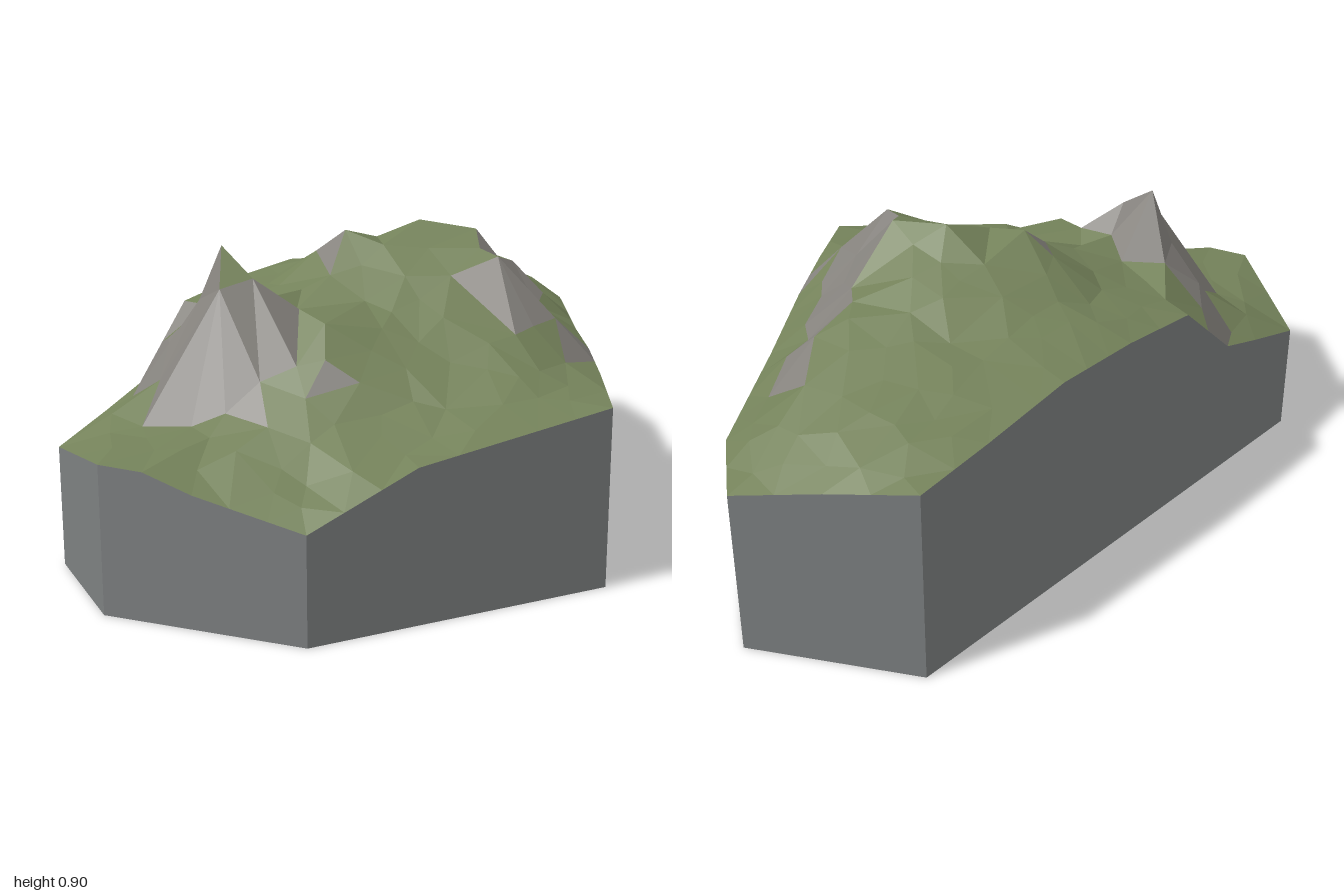
import * as THREE from 'three';

// Outline corners: x, z, height, then [fraction, height] stops along the edge to the next corner
const OUTLINE = [
  [-0.76, 0.57, 0.35, [0.12, 0.405], [0.21, 0.45], [0.34, 0.655], [0.5, 0.68], [0.67, 0.685], [0.85, 0.64]],
  [-0.09, -0.95, 0.61, [0.5, 0.57]],
  [0.43, -1.0, 0.52],
  [0.55, -0.77, 0.515, [0.35, 0.52], [0.6, 0.54], [0.8, 0.535]],
  [0.76, 0.48, 0.515, [0.65, 0.435]],
  [0.03, 1.0, 0.305, [0.54, 0.37], [0.78, 0.415]],
  [-0.54, 0.89, 0.42],
];

// Peaks, ridges and crags: x, z, height
const CRAGS = [
  [-0.34, 0.34, 0.89], [-0.24, 0.39, 0.81], [-0.32, 0.45, 0.79], [-0.41, 0.33, 0.73], [-0.5, 0.34, 0.6],
  [-0.5, 0.44, 0.52], [-0.51, 0.59, 0.43], [-0.36, 0.63, 0.45], [-0.18, 0.58, 0.57], [-0.03, 0.43, 0.7],
  [-0.14, 0.28, 0.7], [-0.28, 0.24, 0.69], [-0.45, 0.11, 0.66], [-0.61, 0.35, 0.44], [-0.07, 0.14, 0.77],
  [-0.05, 0.0, 0.877], [0.07, 0.04, 0.845], [0.02, -0.15, 0.83], [0.16, -0.08, 0.9], [0.33, -0.07, 0.88],
  [0.41, 0.08, 0.83], [0.46, -0.15, 0.69], [0.47, -0.03, 0.72], [0.28, 0.13, 0.78], [0.58, 0.1, 0.66],
  [0.56, -0.1, 0.6], [0.39, -0.25, 0.74], [0.33, -0.41, 0.74], [0.41, -0.47, 0.7], [0.5, -0.33, 0.59],
];

// Gentler ground: x, z, height
const MEADOW = [
  [0.09, -0.3, 0.79], [0.2, -0.25, 0.81], [0.12, -0.45, 0.73], [0.15, -0.6, 0.69], [0.2, -0.8, 0.64],
  [0.36, -0.65, 0.66], [-0.05, -0.6, 0.685], [-0.12, -0.35, 0.73], [-0.2, -0.15, 0.75], [-0.28, 0.02, 0.71],
  [0.45, -0.82, 0.57], [0.0, -0.8, 0.65], [0.13, 0.27, 0.7], [0.22, 0.36, 0.64], [0.48, 0.27, 0.65],
  [0.62, 0.25, 0.57], [0.32, 0.55, 0.51], [0.04, 0.67, 0.49], [0.0, 0.85, 0.38], [-0.2, 0.78, 0.44],
  [-0.42, 0.78, 0.43], [0.24, 0.74, 0.44], [0.56, 0.47, 0.53], [-0.6, 0.6, 0.41], [0.5, -0.6, 0.56],
];

let seed = 7;
const random = () => (seed = (seed * 16807) % 2147483647) / 2147483647;

// Rim points, each edge split into short steps
function makeRim() {
  const rim = [];
  OUTLINE.forEach(([x, z, y, ...stops], i) => {
    const [nx, nz, ny] = OUTLINE[(i + 1) % OUTLINE.length];
    const keys = [[0, y], ...stops, [1, ny]];
    const length = Math.hypot(nx - x, nz - z);
    for (let k = 0; k + 1 < keys.length; k++) {
      const [t0, y0] = keys[k], [t1, y1] = keys[k + 1];
      const n = Math.max(1, Math.round((t1 - t0) * length / 0.11));
      for (let j = 0; j < n; j++) {
        const f = j / n, t = t0 + (t1 - t0) * f;
        rim.push([x + (nx - x) * t, z + (nz - z) * t, y0 + (y1 - y0) * f]);
      }
    }
  });
  return rim;
}

const cross = (a, b, c) => (b[0] - a[0]) * (c[1] - a[1]) - (b[1] - a[1]) * (c[0] - a[0]);

// Delaunay triangulation in plan, by inserting one point at a time
function triangulate(points) {
  const outer = [[-300, -300, 0], [300, -300, 0], [0, 400, 0]];
  let tris = [outer];
  for (const p of points) {
    const edges = [], keep = [];
    for (const t of tris) {
      const [a, b, c] = t.map(q => [q[0] - p[0], q[1] - p[1]]);
      const sq = v => v[0] * v[0] + v[1] * v[1];
      const det = sq(a) * (b[0] * c[1] - c[0] * b[1]) - sq(b) * (a[0] * c[1] - c[0] * a[1])
        + sq(c) * (a[0] * b[1] - b[0] * a[1]);
      if (det > 1e-12) edges.push([t[0], t[1]], [t[1], t[2]], [t[2], t[0]]);
      else keep.push(t);
    }
    for (const [a, b] of edges) {
      if (edges.some(e => e[0] === b && e[1] === a)) continue;
      if (cross(a, b, p) > 0) keep.push([a, b, p]);
    }
    tris = keep;
  }
  return tris.filter(t => !t.some(q => outer.includes(q)) && cross(...t) > 1e-5);
}

// Steepness test: bare rock where the slope is high
function isRock([a, b, c]) {
  const v = q => new THREE.Vector3(q[0], q[2], q[1]);
  const n = v(c).sub(v(a)).cross(v(b).sub(v(a))).normalize();
  return n.y < 0.73;
}

// Extra facets scattered over the grass, following the ground height
function scatter(points, tris) {
  const result = [...points];
  for (let i = 0; i < 1500; i++) {
    const p = [random() * 1.5 - 0.75, random() * 2 - 1, 0];
    const t = tris.find(([a, b, c]) => cross(a, b, p) > 0 && cross(b, c, p) > 0 && cross(c, a, p) > 0);
    if (!t || isRock(t) || result.some(q => Math.hypot(q[0] - p[0], q[1] - p[1]) < 0.075)) continue;
    const [a, b, c] = t, area = cross(a, b, c);
    p[2] = (cross(b, c, p) * a[2] + cross(c, a, p) * b[2] + cross(a, b, p) * c[2]) / area;
    p[2] += (random() - 0.5) * 0.014;
    result.push(p);
  }
  return result;
}

function facetMesh(name, tris, color) {
  const geometry = new THREE.BufferGeometry();
  const positions = tris.flatMap(t => t.flatMap(([x, z, y]) => [x, y, z]));
  geometry.setAttribute('position', new THREE.Float32BufferAttribute(positions, 3));
  geometry.computeVertexNormals();
  const mesh = new THREE.Mesh(geometry, new THREE.MeshStandardMaterial({ color, flatShading: true }));
  mesh.name = name;
  return mesh;
}

export function createModel() {
  const group = new THREE.Group();
  group.name = 'mountainBlock';

  // Ground surface, split into grass and rock facets
  const rim = makeRim();
  const main = [...rim, ...CRAGS, ...MEADOW];
  const ground = triangulate(scatter(main, triangulate(main))).map(([a, b, c]) => [a, c, b]);
  const steep = t => isRock([t[0], t[2], t[1]]);
  group.add(facetMesh('grass', ground.filter(t => !steep(t)), 0x74825a));
  group.add(facetMesh('rock', ground.filter(steep), 0x86837e));

  // Vertical side walls down to the flat underside
  const walls = [], floor = [];
  const drop = p => [p[0], p[1], 0];
  rim.forEach((a, i) => {
    const b = rim[(i + 1) % rim.length];
    walls.push([drop(a), a, b], [drop(a), b, drop(b)]);
    floor.push([[0, 0, 0], drop(a), drop(b)]);
  });
  group.add(facetMesh('sideWalls', walls, 0x7c7f80));
  group.add(facetMesh('underside', floor, 0x7c7f80));
  return group;
}
